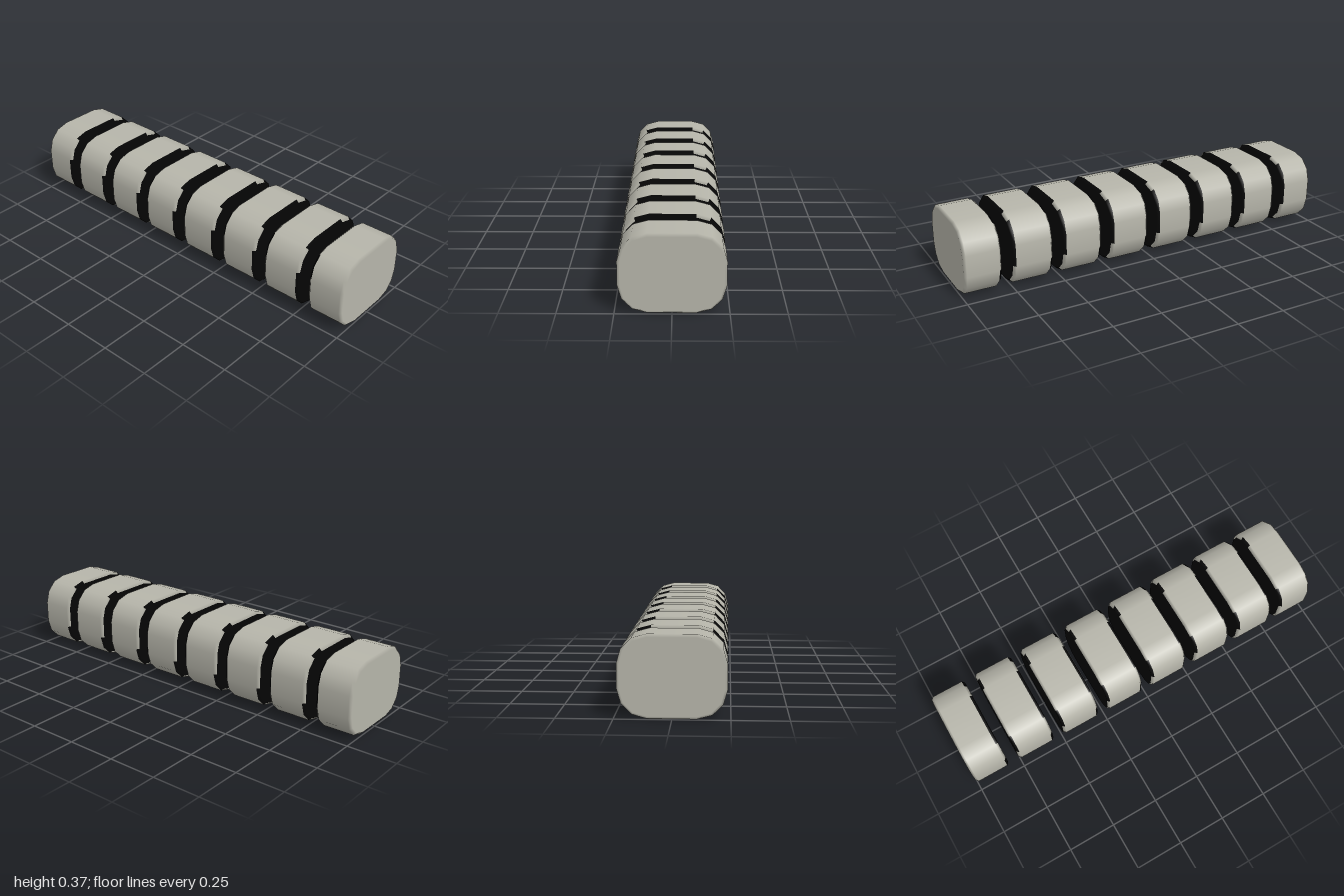
import * as THREE from 'three';

const CENTRE_Y = 0.184;
const BEVEL = 0.013;

// One quarter of the rounded-rectangle outline, from the right side up to the top
const QUARTER = [[0.236, 0.055], [0.218, 0.118], [0.172, 0.165], [0.106, 0.183]];

// Outline strips, anticlockwise from the right flat: 1 = dark on the front bevel, 0 = dark on the back bevel
const HALF_PATTERN = [1, 1, 1, 0, 1, 1, 0, 0];
const PATTERN = [...HALF_PATTERN, ...HALF_PATTERN];

function makeOutline() {
  const mirrored = [...QUARTER].reverse().map(([x, y]) => [-x, y]);
  const upper = [...QUARTER, ...mirrored];
  const lower = upper.map(([x, y]) => [-x, -y]);
  // begin at the lower end of the right flat, so strip 0 is that flat
  const all = [...upper, ...lower];
  const pts = [all[15], ...all.slice(0, 15)].map(([x, y]) => new THREE.Vector2(x, y));
  const n = pts.length;
  return pts.map((p, i) => {
    const edge = pts[(i + 1) % n].clone().sub(pts[(i + n - 1) % n]);
    return { p, normal: new THREE.Vector2(edge.y, -edge.x).normalize() };
  });
}

// Bevelled block between z0 and z1, split into a light (0) and a dark (1) group
function makeBlock(outline, z0, z1, darkBack, darkFront) {
  const parts = [{ pos: [], nor: [] }, { pos: [], nor: [] }];
  const n = outline.length;
  const corner = (i, inset, z, nz) => {
    const { p, normal } = outline[i % n];
    return {
      pos: [p.x - normal.x * inset, p.y - normal.y * inset + CENTRE_Y, z],
      nor: nz ? [0, 0, nz] : [normal.x, normal.y, 0],
    };
  };
  const tri = (dark, ...corners) => corners.forEach((c) => {
    parts[dark].pos.push(...c.pos);
    parts[dark].nor.push(...c.nor);
  });
  const rings = [
    [BEVEL, z0, -1],
    [0, z0 + BEVEL, 0],
    [0, z1 - BEVEL, 0],
    [BEVEL, z1, 1],
  ];
  for (let i = 0; i < n; i++) {
    const dark = [
      darkBack && !PATTERN[i] ? 1 : 0,
      0,
      darkFront && PATTERN[i] ? 1 : 0,
    ];
    for (let r = 0; r < 3; r++) {
      const a = corner(i, ...rings[r]);
      const b = corner(i + 1, ...rings[r]);
      const c = corner(i + 1, ...rings[r + 1]);
      const d = corner(i, ...rings[r + 1]);
      tri(dark[r], a, b, c);
      tri(dark[r], a, c, d);
    }
    // end faces
    const back = { pos: [0, CENTRE_Y, z0], nor: [0, 0, -1] };
    const front = { pos: [0, CENTRE_Y, z1], nor: [0, 0, 1] };
    tri(darkBack ? 1 : 0, back, corner(i + 1, ...rings[0]), corner(i, ...rings[0]));
    tri(darkFront ? 1 : 0, front, corner(i, ...rings[3]), corner(i + 1, ...rings[3]));
  }
  const geometry = new THREE.BufferGeometry();
  geometry.setAttribute('position', new THREE.Float32BufferAttribute([...parts[0].pos, ...parts[1].pos], 3));
  geometry.setAttribute('normal', new THREE.Float32BufferAttribute([...parts[0].nor, ...parts[1].nor], 3));
  const lightCount = parts[0].pos.length / 3;
  geometry.addGroup(0, lightCount, 0);
  geometry.addGroup(lightCount, parts[1].pos.length / 3, 1);
  return geometry;
}

export function createModel() {
  const group = new THREE.Group();
  group.name = 'segmentedBar';

  const stone = new THREE.MeshStandardMaterial({ color: 0xb6b5aa });
  stone.name = 'warm grey';
  const black = new THREE.MeshStandardMaterial({ color: 0x050505 });
  black.name = 'black';

  // Eight blocks in a row; only faces turned to a gap are dark
  const outline = makeOutline();
  const count = 8;
  const pitch = 0.2615;
  const gap = 0.058;
  for (let i = 0; i < count; i++) {
    const isBack = i === 0;
    const isFront = i === count - 1;
    const z0 = isBack ? -1 : (i - count / 2) * pitch + gap / 2;
    const z1 = isFront ? 1 : (i + 1 - count / 2) * pitch - gap / 2;
    const block = new THREE.Mesh(makeBlock(outline, z0, z1, !isBack, !isFront), [stone, black]);
    block.name = `block${i + 1}`;
    group.add(block);
  }
  return group;
}
